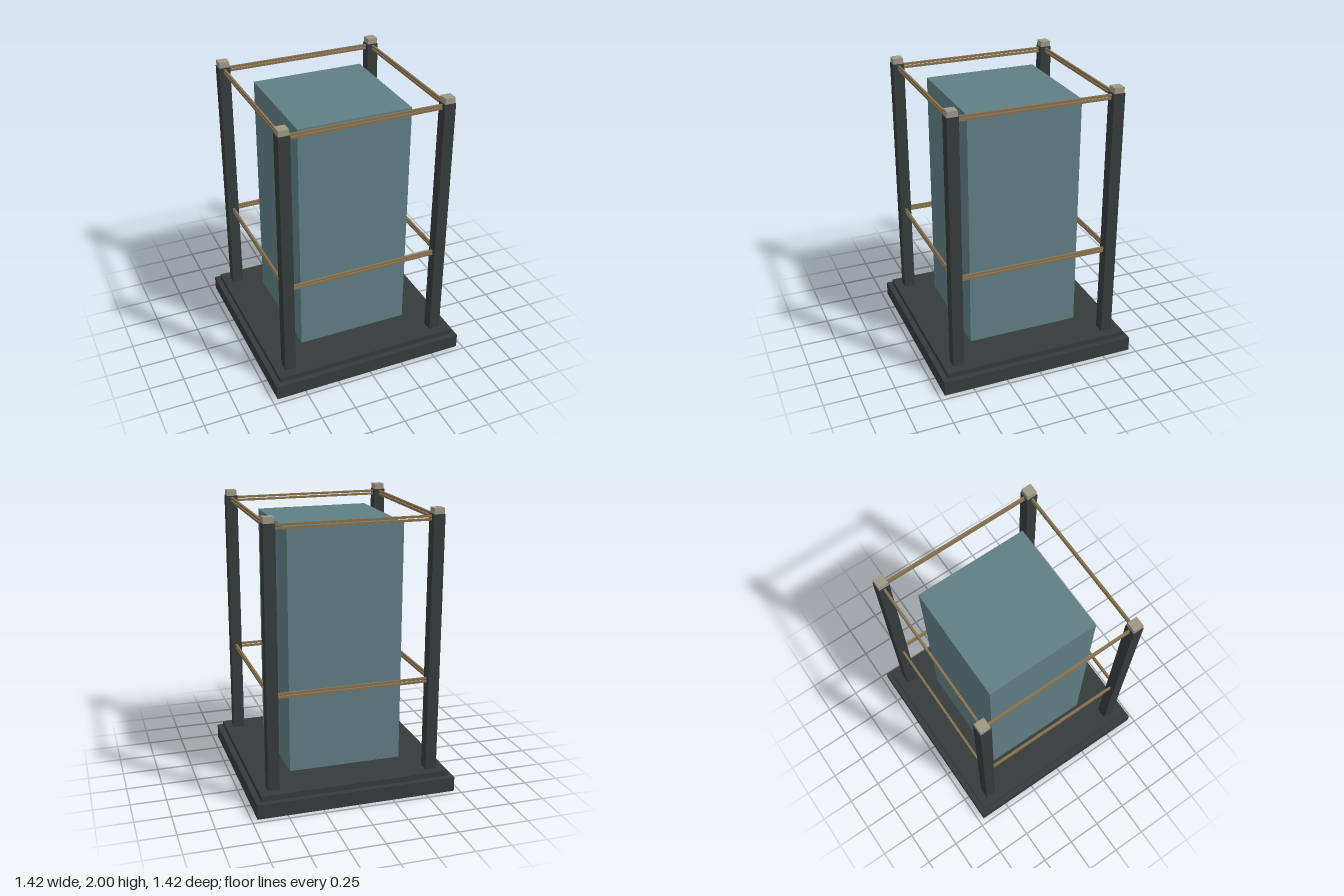
import * as THREE from 'three';

const material = (name, color) => {
  const m = new THREE.MeshStandardMaterial({ color });
  m.name = name;
  return m;
};

export function createModel() {
  const model = new THREE.Group();
  model.name = 'displayCase';

  const dark = material('charcoal', 0x353b3b);
  const glass = material('blueGlass', 0x607e84);
  const brass = material('agedBrass', 0x87714f);
  const stone = material('paleStone', 0x9d9785);

  // Box given by its width, depth, bottom and top
  const box = (name, mat, w, d, y0, y1, x = 0, z = 0) => {
    const mesh = new THREE.Mesh(new THREE.BoxGeometry(w, y1 - y0, d), mat);
    mesh.position.set(x, (y0 + y1) / 2, z);
    mesh.name = name;
    model.add(mesh);
  };

  // Stepped base
  box('basePlinth', dark, 1.42, 1.42, 0, 0.105);
  box('baseStep', dark, 1.345, 1.345, 0.105, 0.145);

  // Central block, hovering just above the base
  box('glassBlock', glass, 0.81, 0.81, 0.17, 1.88);

  // Corner posts with caps
  const p = 0.57;
  for (const sx of [-1, 1]) {
    for (const sz of [-1, 1]) {
      box('cornerPost', dark, 0.08, 0.08, 0.145, 1.96, sx * p, sz * p);
      box('postCap', stone, 0.072, 0.072, 1.96, 2, sx * p, sz * p);
    }
  }

  // Paired rails between the posts on all four sides
  const span = 2 * p - 0.07, t = 0.015;
  for (const y of [0.789, 0.811, 1.915, 1.937]) {
    for (const s of [-1, 1]) {
      box('crossRail', brass, span, t, y, y + t, 0, s * p);
      box('sideRail', brass, t, span, y, y + t, s * p, 0);
    }
  }

  return model;
}
